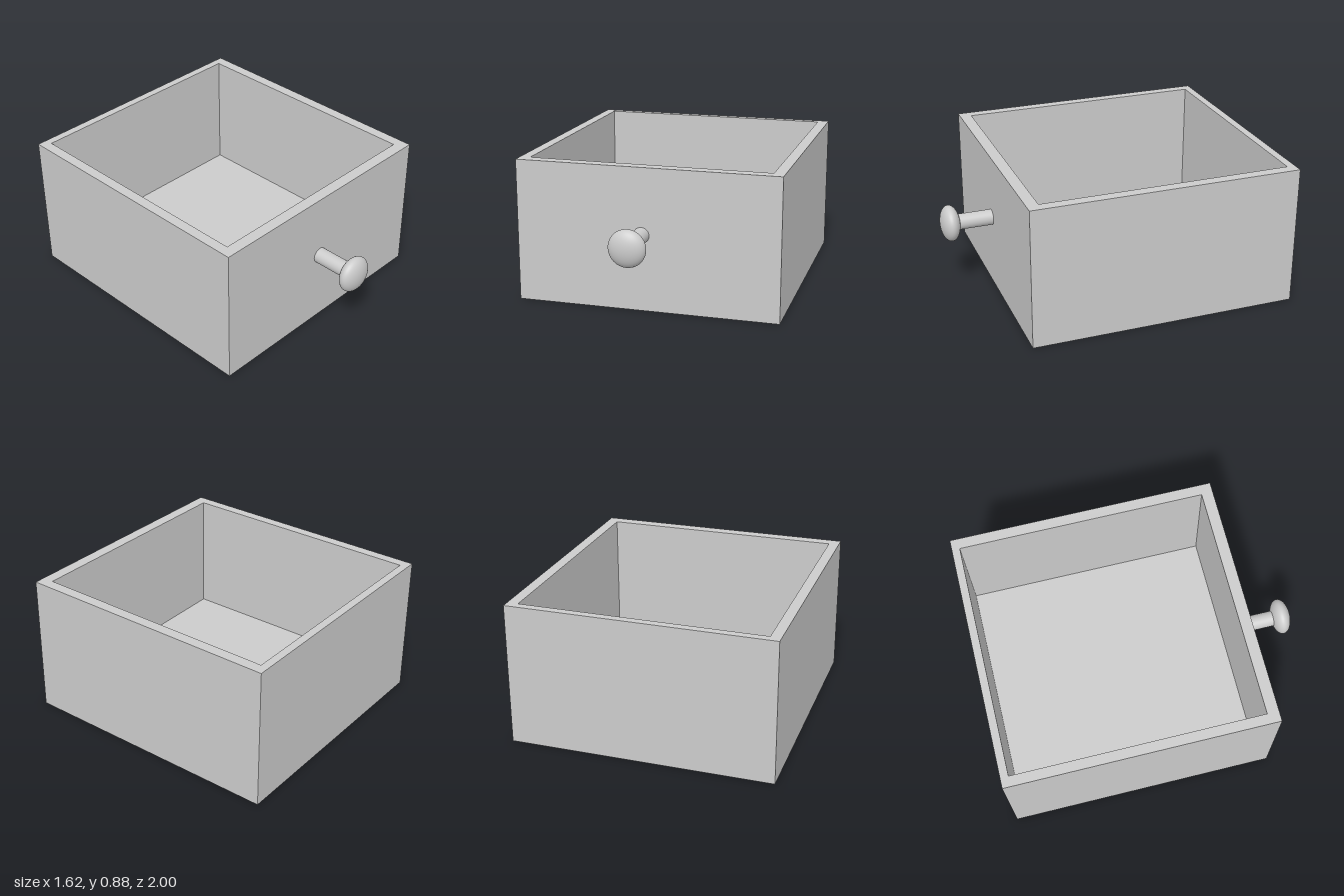
import * as THREE from 'three';

const WIDTH = 1.616, HEIGHT = 0.878, FLOOR = 0.117;
const BACK = -1, FRONT = 0.675;                                      // outer z limits
const INNER = { left: 0.74, right: -0.744, back: -0.95, front: 0.602 };
const KNOB = { x: -0.028, y: 0.468, radius: 0.113, half: 0.06, stem: 0.049 };

const material = new THREE.MeshStandardMaterial({ color: 0xcccccc });

function addMesh(parent, name, geometry) {
  const mesh = new THREE.Mesh(geometry, material);
  mesh.name = name;
  parent.add(mesh);
  return mesh;
}

// Closed rectangle on the plan; shape y is -z so that it extrudes upwards
function rectangle(Type, x0, x1, z0, z1) {
  return new Type([[x0, z0], [x0, z1], [x1, z1], [x1, z0]].map(([x, z]) => new THREE.Vector2(x, -z)));
}

function extrudeUp(shape, depth) {
  return new THREE.ExtrudeGeometry(shape, { depth, bevelEnabled: false }).rotateX(-Math.PI / 2);
}

export function createModel() {
  const drawer = new THREE.Group();
  drawer.name = 'drawer';

  // Four walls as one frame around the opening
  const frame = rectangle(THREE.Shape, -WIDTH / 2, WIDTH / 2, BACK, FRONT);
  frame.holes.push(rectangle(THREE.Path, INNER.right, INNER.left, INNER.back, INNER.front));
  addMesh(drawer, 'walls', extrudeUp(frame, HEIGHT));

  // Bottom panel fitted inside the frame
  const panel = rectangle(THREE.Shape, INNER.right, INNER.left, INNER.back, INNER.front);
  addMesh(drawer, 'bottomPanel', extrudeUp(panel, FLOOR));

  // Round pull: stem and flattened head
  const knob = new THREE.Group();
  knob.name = 'knob';
  knob.position.set(KNOB.x, KNOB.y, FRONT);
  drawer.add(knob);

  const headZ = 1 - KNOB.half - FRONT;
  const stem = new THREE.CylinderGeometry(KNOB.stem, KNOB.stem, headZ, 48, 1, true);
  addMesh(knob, 'knobStem', stem.rotateX(Math.PI / 2).translate(0, 0, headZ / 2));

  const head = new THREE.SphereGeometry(KNOB.radius, 48, 32).rotateX(Math.PI / 2);
  head.scale(1, 1, KNOB.half / KNOB.radius).translate(0, 0, headZ);
  addMesh(knob, 'knobHead', head);

  return drawer;
}
